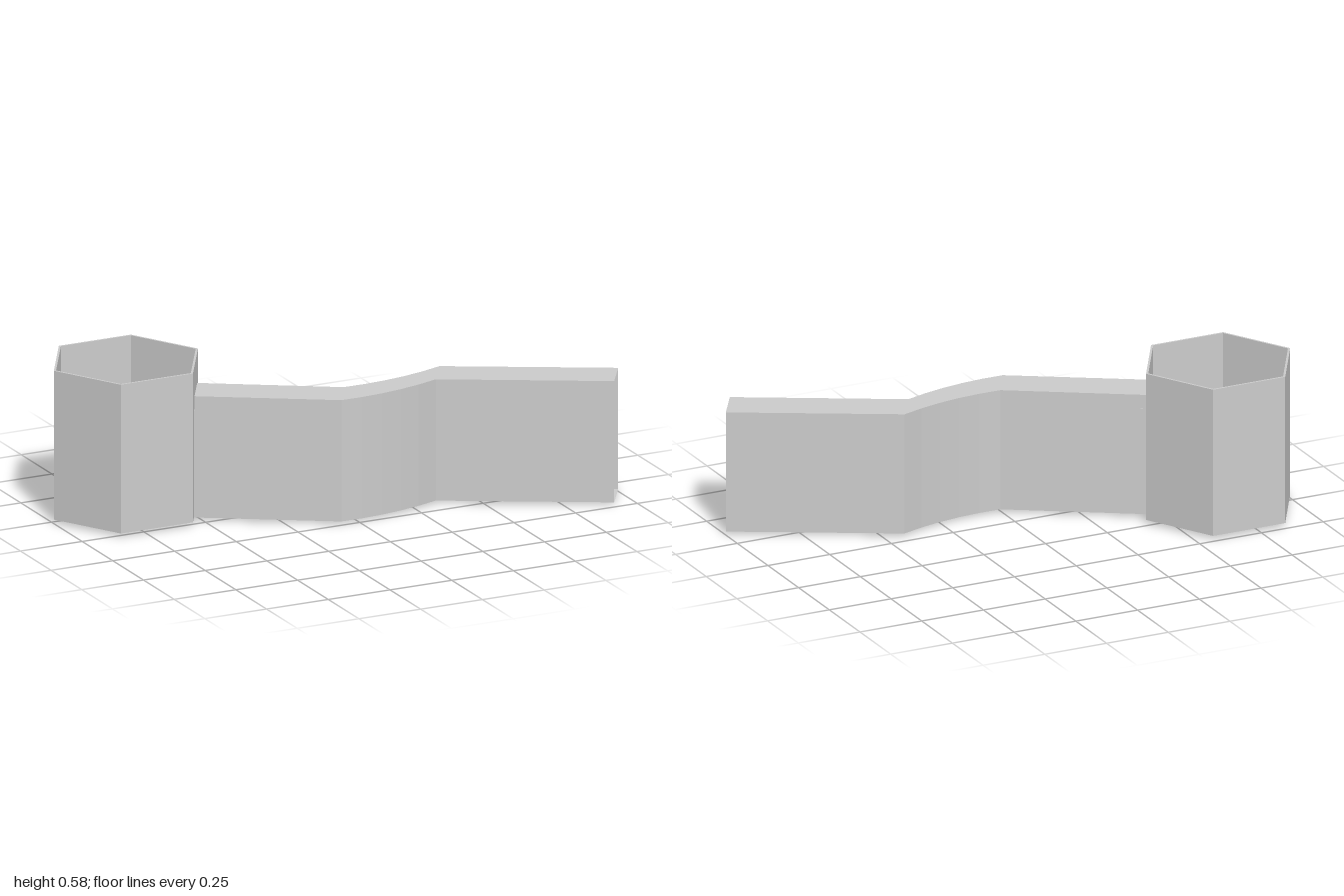
import * as THREE from 'three';

const mat = new THREE.MeshStandardMaterial({ color: 0xcccccc, flatShading: true, side: THREE.DoubleSide });

function add(parent, name, geometry, x = 0, y = 0, z = 0) {
  const mesh = new THREE.Mesh(geometry, mat);
  mesh.name = name;
  mesh.position.set(x, y, z);
  parent.add(mesh);
  return mesh;
}
const box = (w, h, d) => new THREE.BoxGeometry(w, h, d);

// Hexagonal room
const R = 0.292, APOTHEM = R * Math.cos(Math.PI / 6);
const FLOOR = 0.015, TOP = 0.583, WALL = 0.008;
const DOOR_W = 0.158, DOOR_TOP = 0.42, FRAME = 0.016;

function rect(PathType, x0, y0, x1, y1) {
  return new PathType([[x0, y0], [x1, y0], [x1, y1], [x0, y1]].map(p => new THREE.Vector2(...p)));
}

function wallPanel(hasDoor) {
  const shape = rect(THREE.Shape, -R / 2, FLOOR, R / 2, TOP);
  if (hasDoor) shape.holes.push(rect(THREE.Path, -DOOR_W / 2, FLOOR + 0.004, DOOR_W / 2, DOOR_TOP));
  return new THREE.ExtrudeGeometry(shape, { depth: WALL, bevelEnabled: false });
}

function makeRoom() {
  const room = new THREE.Group();
  room.name = 'hexRoom';
  room.position.set(-0.7075, 0, -0.2325);

  for (let i = 0; i < 6; i++) {
    const side = new THREE.Group();
    side.name = 'roomSide';
    side.rotation.y = i * Math.PI / 3;
    room.add(side);
    add(side, 'wall', wallPanel(i === 1), 0, 0, APOTHEM - WALL);
    if (i === 1) side.add(makeDoorFrame());
    if (i === 2) side.add(makeSeat());
  }

  // Floor plate, with the round hub showing above and below
  const floor = add(room, 'floor', new THREE.CylinderGeometry(R, R, 0.006, 6), 0, FLOOR + 0.003, 0);
  floor.rotation.y = Math.PI / 6;
  add(room, 'floorHub', new THREE.CylinderGeometry(0.084, 0.088, 0.024, 32), 0, 0.012, 0);
  return room;
}

// Door frame straddling the wall
function makeDoorFrame() {
  const g = new THREE.Group();
  g.name = 'doorFrame';
  const depth = 0.05, h = DOOR_TOP - FLOOR;
  for (const s of [-1, 1])
    add(g, 'doorJamb', box(FRAME, h, depth), s * (DOOR_W - FRAME) / 2, FLOOR + h / 2, APOTHEM);
  add(g, 'doorLintel', box(DOOR_W - 2 * FRAME, FRAME, depth), 0, DOOR_TOP - FRAME / 2, APOTHEM);
  return g;
}

// Small seat with its back against the wall
function makeSeat() {
  const g = new THREE.Group();
  g.name = 'seat';
  g.position.set(0.086, FLOOR, 0.212);
  add(g, 'seatPan', box(0.08, 0.012, 0.065), 0, 0.08, 0);
  add(g, 'seatBack', box(0.08, 0.08, 0.01), 0, 0.126, 0.0275);
  for (const x of [-1, 1])
    for (const z of [-1, 1])
      add(g, 'seatLeg', box(0.01, 0.076, 0.01), x * 0.035, 0.038, z * 0.0275);
  return g;
}

// Bent passage: a rectangular tube, open at both ends
function edgeLine(start, bendA, control, bendB, end) {
  const v = p => new THREE.Vector2(...p);
  const bend = new THREE.QuadraticBezierCurve(v(bendA), v(control), v(bendB));
  return [v(start), ...bend.getPoints(5), v(end)];
}

function passageGeometry() {
  const front = edgeLine([-0.526, -0.038], [-0.07, 0.24], [0.14, 0.25], [0.345, 0.175], [0.915, 0.482]);
  const back = edgeLine([-0.449, -0.172], [0.005, 0.108], [0.22, 0.12], [0.425, 0.044], [0.997, 0.35]);
  const y0 = 0.011, y1 = 0.474;
  const section = i => [
    [front[i].x, y0, front[i].y], [front[i].x, y1, front[i].y],
    [back[i].x, y1, back[i].y], [back[i].x, y0, back[i].y],
  ];
  const pos = [];
  for (let i = 0; i < front.length - 1; i++) {
    const a = section(i), b = section(i + 1);
    for (let j = 0; j < 4; j++) {
      const k = (j + 1) % 4;
      pos.push(...a[j], ...b[j], ...b[k], ...a[j], ...b[k], ...a[k]);
    }
  }
  const geo = new THREE.BufferGeometry();
  geo.setAttribute('position', new THREE.Float32BufferAttribute(pos, 3));
  geo.computeVertexNormals();
  return geo;
}

export function createModel() {
  const model = new THREE.Group();
  model.name = 'roomWithPassage';
  model.add(makeRoom());
  add(model, 'passage', passageGeometry());
  return model;
}
